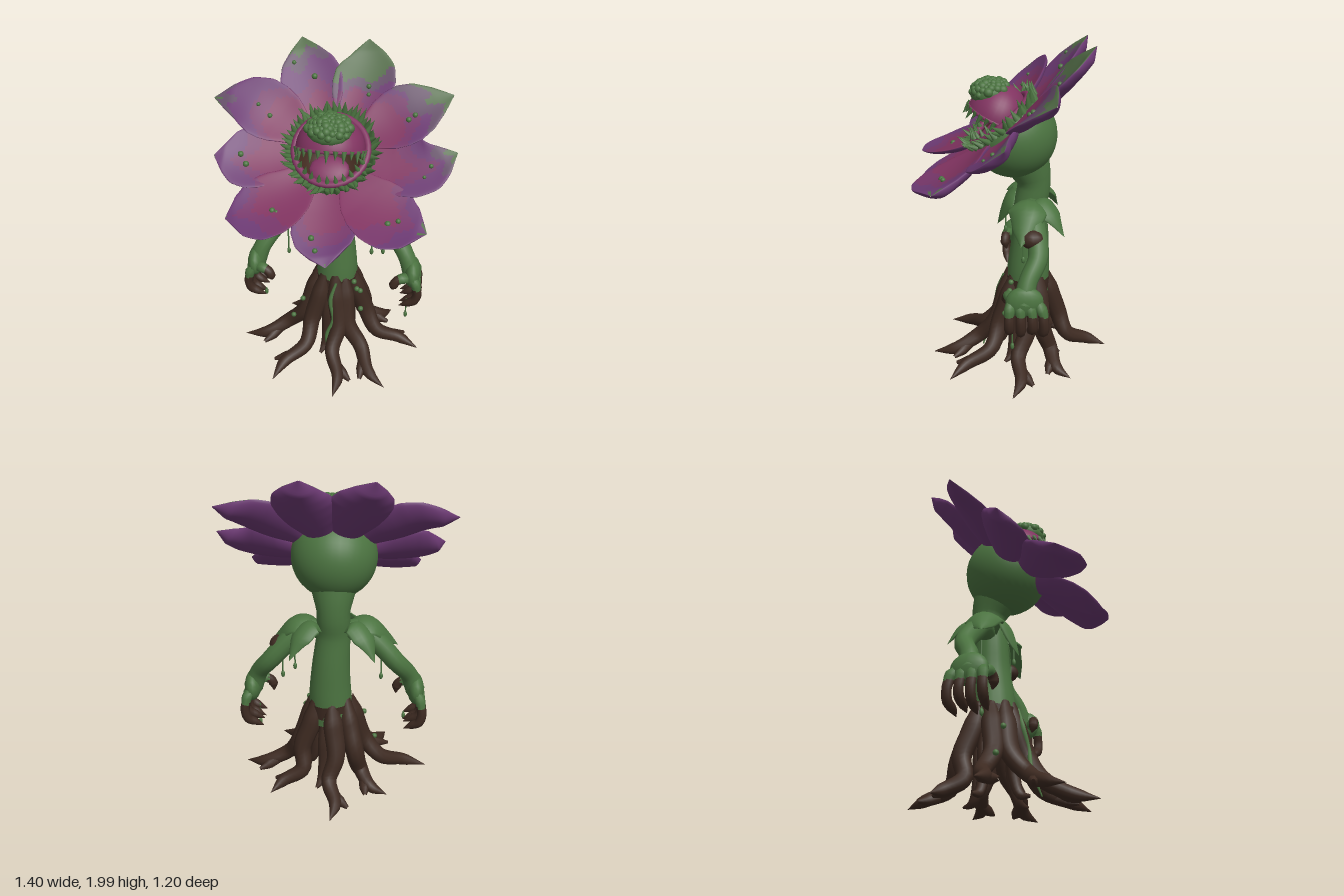
import * as THREE from 'three';

const mat = (name, color, side = THREE.FrontSide) => {
  const m = new THREE.MeshStandardMaterial({ color, side });
  m.name = name;
  return m;
};
const V = (x, y, z) => new THREE.Vector3(x, y, z);
let seed = 7;
const rnd = () => (seed = (seed * 16807) % 2147483647) / 2147483647;
// piecewise-linear lookup in a short list
const ramp = (list, t) => {
  const f = Math.min(t, 0.9999) * (list.length - 1), i = Math.floor(f);
  return THREE.MathUtils.lerp(list[i], list[i + 1], f - i);
};

// Sweeps a closed section along a curve; pick(t, phi) gives a material index
function sweep(points, ref, n, m, section, pick = () => 0) {
  const curve = new THREE.CatmullRomCurve3(points);
  const pos = [], faces = [[], [], [], [], []];
  for (let i = 0; i <= n; i++) {
    const t = i / n, c = curve.getPoint(t), T = curve.getTangent(t);
    const S = T.clone().cross(ref).normalize(), N = S.clone().cross(T);
    for (let j = 0; j < m; j++) {
      const [a, b] = section(t, (j / m) * Math.PI * 2);
      const p = c.clone().addScaledVector(S, a).addScaledVector(N, b);
      pos.push(p.x, p.y, p.z);
      if (i === n) continue;
      const A = i * m + j, B = i * m + (j + 1) % m;
      faces[pick((i + 0.5) / n, ((j + 0.5) / m) * Math.PI * 2)].push(A, A + m, B, B, A + m, B + m);
    }
  }
  const g = new THREE.BufferGeometry();
  g.setAttribute('position', new THREE.Float32BufferAttribute(pos, 3));
  g.setIndex(faces.flat());
  let start = 0;
  faces.forEach((f, k) => {
    if (f.length) g.addGroup(start, f.length, k);
    start += f.length;
  });
  g.computeVertexNormals();
  return g;
}
const tube = (points, radii, ref, n = 16, m = 10) => sweep(points, ref, n, m, (t, p) => {
  const r = ramp(radii, t);
  return [r * Math.cos(p), r * Math.sin(p)];
});
// Leaf or petal: lens section, edges raised by cup, one side raised by roll
const blade = (points, widths, ref, thick, cup, roll = 0, pick = undefined, n = 16, m = 16) => sweep(points, ref, n, m, (t, p) => {
  const w = ramp(widths, t), c = Math.cos(p), s = Math.sin(p);
  const body = Math.min(1, w * 12);
  return [w * c, body * thick * (s > 0 ? 0.35 : 1) * s + cup * w * c * c + roll * w * c * t];
}, pick);

export function createModel() {
  const root = new THREE.Group();
  root.name = 'plantMonster';
  const green = mat('leafGreen', 0x4b7340), brown = mat('rootBrown', 0x3d2a21);
  const purple = mat('petalPurple', 0x6b3972), plum = mat('petalPlum', 0x763669), magenta = mat('petalMagenta', 0x803360);
  const faded = mat('fadedPurple', 0x634c66), moss = mat('mossGreen', 0x526c47);
  const dark = mat('mouthBrown', 0x432b20, THREE.DoubleSide);
  const add = (parent, name, geo, m, x = 0, y = 0, z = 0) => {
    const mesh = new THREE.Mesh(geo, m);
    mesh.name = name;
    mesh.position.set(x, y, z);
    parent.add(mesh);
    return mesh;
  };
  const ball = (parent, name, m, p, sx, sy = sx, sz = sx) =>
    add(parent, name, new THREE.SphereGeometry(1, 14, 10), m, p.x, p.y, p.z).scale.set(sx, sy, sz);
  const spike = (parent, name, m, p, dir, len, r) => {
    const g = new THREE.ConeGeometry(r, len, 6).translate(0, len / 2, 0);
    add(parent, name, g, m, p.x, p.y, p.z).quaternion.setFromUnitVectors(V(0, 1, 0), dir.clone().normalize());
  };
  const Z = V(0, 0, 1), Y = V(0, 1, 0);

  // Trunk
  add(root, 'trunk', tube([V(0.01, 0.42, -0.085), V(0.02, 0.6, -0.09), V(0.015, 0.8, -0.1), V(0, 1.0, -0.1),
    V(0, 1.16, -0.12), V(0, 1.33, -0.06)], [0.135, 0.13, 0.114, 0.1, 0.1, 0.15], Z, 24, 20), green);
  add(root, 'rootCrown', tube([V(0.01, 0.3, -0.085), V(0.015, 0.42, -0.085), V(0.02, 0.555, -0.088)],
    [0.08, 0.13, 0.137], Z, 10, 20), brown);

  // Spreading roots, each with a stubby side fork
  const ends = [[-0.6, 0.02], [-0.34, 0.42], [0.06, 0.52], [0.38, 0.4], [0.58, 0.02], [0.38, -0.34], [0, -0.6], [-0.34, -0.32]];
  ends.forEach(([ex, ez], i) => {
    const dx = ex - 0.01, dz = ez + 0.085, len = Math.hypot(dx, dz), ux = dx / len, uz = dz / len;
    const at = (r, y, side = 0) => V(0.01 + ux * r - uz * side, y, -0.085 + uz * r + ux * side);
    const w = i % 2 ? 0.03 : -0.03, ref = V(-uz, 0, ux);
    add(root, 'root', tube([at(0.1, 0.57 + 0.012 * (i % 3)), at(0.14, 0.42, w * 0.4), at(0.2, 0.25, w), at(len * 0.5, 0.115, -w * 0.4),
      at(len * 0.76, 0.045, w), at(len, 0.008)], [0.03, 0.062, 0.06, 0.052, 0.046, 0.036, 0], ref, 26, 10), brown);
    add(root, 'rootFork', tube([at(len * 0.6, 0.07), at(len * 0.7, 0.04, w * 2), at(len * 0.79, 0.025, w * 3.6)],
      [0.036, 0.032, 0.01], ref, 8, 8), brown);
    // inner roots dropping straight down
    if (i % 2) return;
    const a = Math.atan2(uz, ux) + 0.4;
    const inn = (r, y) => V(0.01 + Math.cos(a) * r, y, -0.07 + Math.sin(a) * r);
    add(root, 'innerRoot', tube([inn(0.09, 0.5), inn(0.12, 0.3), inn(0.13, 0.14), inn(0.17, 0.035), inn(0.24, 0.02)],
      [0.03, 0.042, 0.036, 0.028, 0.008], V(-Math.sin(a), 0, Math.cos(a)), 16, 8), brown);
  });
  // Green creeper and buds over the roots
  add(root, 'creeper', tube([V(0.03, 0.56, 0.06), V(0.0, 0.44, 0.095), V(0.02, 0.3, 0.125), V(-0.02, 0.18, 0.15), V(0.01, 0.03, 0.2)],
    [0.008, 0.016, 0.013, 0.013, 0.004], V(1, 0, 0), 20, 8), green);
  [[0.18, 0.46, 0], [0.16, 0.5, 0.03], [-0.19, 0.39, 0.04], [-0.26, 0.22, 0.02], [0.19, 0.36, 0.06], [0.14, 0.55, 0.02]]
    .forEach(p => ball(root, 'rootBud', green, V(...p), 0.017));

  // Arms, hands and shoulder leaves
  for (const s of [1, -1]) {
    const P = (x, y, z) => V(s * x, y, z), tag = s > 0 ? 'left' : 'right';
    add(root, tag + 'Arm', tube([P(0.05, 1.02, -0.1), P(0.17, 1.03, -0.1), P(0.27, 0.95, -0.12), P(0.38, 0.83, -0.13),
      P(0.46, 0.72, -0.07), P(0.505, 0.6, -0.045)], [0.055, 0.062, 0.064, 0.058, 0.054, 0.06], Z, 24, 12), green);
    ball(root, tag + 'Palm', green, P(0.505, 0.615, -0.05), 0.052, 0.095, 0.11);
    for (let k = 0; k < 4; k++) {
      const z = 0.035 - k * 0.06, d = k % 2 ? 0.015 : 0;
      add(root, tag + 'FingerBase', tube([P(0.5, 0.62, z * 0.8), P(0.53, 0.58, z), P(0.54, 0.53, z * 1.1)],
        [0.025, 0.033, 0.027], Z, 8, 8), green);
      add(root, tag + 'Finger', tube([P(0.535, 0.55, z * 1.05), P(0.545, 0.5, z * 1.1), P(0.53, 0.45 - d, z * 1.1),
        P(0.485, 0.42 - d, z), P(0.435, 0.395 - d, z)], [0.029, 0.029, 0.03, 0.025, 0.002], Z, 14, 8), brown);
    }
    add(root, tag + 'ThumbBase', tube([P(0.49, 0.6, 0.0), P(0.45, 0.62, 0.035), P(0.42, 0.615, 0.045)], [0.035, 0.034, 0.03], Z, 8, 8), green);
    add(root, tag + 'Thumb', tube([P(0.435, 0.62, 0.04), P(0.405, 0.6, 0.048), P(0.392, 0.57, 0.05), P(0.388, 0.53, 0.04)],
      [0.03, 0.03, 0.03, 0.004], Z, 12, 8), brown);
    add(root, tag + 'ShoulderLeaf', blade([P(0.07, 1.03, -0.09), P(0.15, 1.09, -0.08), P(0.24, 1.08, -0.07), P(0.32, 0.99, -0.05),
      P(0.39, 0.9, -0.03)], [0.05, 0.1, 0.12, 0.105, 0.065, 0], Y, 0.03, -0.5), green);
    add(root, tag + 'BackLeaf', blade([P(0.06, 1.04, -0.12), P(0.13, 1.09, -0.16), P(0.2, 1.03, -0.23), P(0.25, 0.9, -0.29)],
      [0.04, 0.085, 0.08, 0], Y, 0.025, -0.4), green);
  }
  add(root, 'chestLeaf', blade([V(-0.06, 1.1, 0.0), V(-0.07, 1.03, 0.045), V(-0.075, 0.94, 0.075), V(-0.075, 0.85, 0.1)],
    [0.04, 0.09, 0.1, 0.08, 0.05, 0], Z, 0.025, -0.4), green);
  ball(root, 'armBarkPatch', brown, V(0.322, 0.922, -0.1), 0.064, 0.058, 0.074);

  // Hanging slime drips: x, top, bottom, z
  [[-0.29, 0.88, 0.7, -0.06], [-0.02, 0.96, 0.84, 0.05], [0.24, 0.93, 0.75, -0.05], [0.31, 0.88, 0.72, -0.1],
    [0.48, 0.44, 0.31, 0.02], [-0.44, 0.42, 0.39, 0]].forEach(([x, a, b, z]) => {
    add(root, 'dripThread', new THREE.CylinderGeometry(0.005, 0.005, a - b, 6), green, x, (a + b) / 2, z);
    ball(root, 'dripDrop', green, V(x, b, z), 0.012, 0.022, 0.012);
  });

  // Flower head, its own y axis pointing out of the bloom
  const head = new THREE.Group();
  head.name = 'flowerHead';
  head.position.set(0, 1.55, 0.08);
  head.rotation.x = 0.69;
  root.add(head);
  const cup = r => new THREE.SphereGeometry(r, 36, 20, 0, Math.PI * 2, 1.04, Math.PI - 1.04);
  add(head, 'bulb', cup(0.255), green, 0, -0.126, 0);
  add(head, 'throat', cup(0.235), dark, 0, -0.115, 0);
  add(head, 'gum', new THREE.TorusGeometry(0.207, 0.02, 10, 40).rotateX(Math.PI / 2), magenta);
  ball(head, 'tongue', magenta, V(0, -0.035, 0.11), 0.115, 0.035, 0.09);

  // Petals: base angle, tip angle, length, magenta reach, moss amount, roll
  const petals = [[20, 13, 0.705, 0.4, 0.6, 0], [60, 61, 0.755, 0.56, 0.28, 0], [100, 88, 0.7, 0.56, 0.1, 0],
    [140, 129, 0.72, 0.72, 0, 0.4], [180, 177, 0.675, 0.6, 0, 0], [220, 230, 0.7, 0.72, 0, -0.4],
    [260, 263, 0.66, 0.56, 0, 0], [300, 291, 0.75, 0.56, 0.06, 0], [340, 341, 0.72, 0.4, 0.24, 0]];
  const pointed = [0.075, 0.115, 0.155, 0.175, 0.178, 0.15, 0.085, 0.003];
  const broad = [0.08, 0.12, 0.16, 0.185, 0.195, 0.185, 0.13, 0.003];
  petals.forEach(([a0, a1, len, reach, mossy, roll], i) => {
    const lift = i % 2 ? 0.012 : -0.012;
    const at = (deg, r, y) => {
      const a = THREE.MathUtils.degToRad(deg);
      return V(Math.sin(a) * r, y, -Math.cos(a) * r);
    };
    const pick = (t, p) => {
      const c = Math.cos(p), wob = 0.05 * Math.sin(6 * c + i * 2) + 0.03 * Math.sin(12 * t + i);
      if (Math.sin(p) < 0) return t < 0.1 ? 1 : 0;
      const m = t + wob - 1 + mossy - 0.25 * mossy * (1 + c);
      if (m > 0) return 4;
      if (mossy > 0 && m > -0.14) return 3;
      const inner = t + 0.3 * Math.abs(c) + wob;
      return inner < reach ? 2 : inner < reach + 0.18 ? 1 : 0;
    };
    const mid = (a0 * 2 + a1) / 3, rise = roll ? 0.03 : 0.005;
    add(head, 'petal', blade([at(a0, 0.19, -0.065 + lift), at(a0, 0.36, -0.045 + lift), at(mid, 0.54, -0.015 + lift), at(a1, len, rise)],
      roll ? broad : pointed, Y, 0.045, 0.2, roll, pick, 40, 44), [purple, plum, magenta, faded, moss]);
    for (let k = 0; k < 2; k++) {
      const r = 0.4 + rnd() * 0.2;
      ball(head, 'petalWart', green, at(a0 + (rnd() - 0.5) * 16, r, lift - 0.02 + (r - 0.4) * 0.17), 0.01 + rnd() * 0.008);
    }
  });

  // Collar of pointed leaflets and inner teeth
  for (let k = 0; k < 56; k++) {
    const a = (k / 56) * Math.PI * 2, row = k % 2, r = row ? 0.222 : 0.24;
    const out = 0.1 + row * 0.3 + rnd() * 0.5, tw = (rnd() - 0.5) * 0.9;
    const dir = V(Math.sin(a + tw) * out, 0.7, -Math.cos(a + tw) * out);
    spike(head, 'collarLeaflet', green, V(Math.sin(a) * r, -0.02, -Math.cos(a) * r), dir, 0.07 + rnd() * 0.035, 0.021);
  }
  for (let k = -5; k <= 5; k++) {
    const a = k * 0.24;
    spike(head, 'lowerTooth', green, V(Math.sin(a) * 0.2, 0.01, Math.cos(a) * 0.2), V(-Math.sin(a) * 0.4, 1, -Math.cos(a) * 0.4), 0.065, 0.016);
  }

  // Upper jaw dome, tilted open, with teeth along the rim
  const jaw = new THREE.Group();
  jaw.name = 'upperJaw';
  jaw.position.set(0, 1.565, 0.1);
  jaw.rotation.x = -0.42;
  root.add(jaw);
  const dome = r => new THREE.SphereGeometry(r, 32, 14, 0, Math.PI * 2, 0, Math.PI / 2);
  add(jaw, 'jawDome', dome(0.195), magenta).scale.z = 0.9;
  add(jaw, 'jawInside', dome(0.185), dark).scale.z = 0.9;
  add(jaw, 'jawLip', new THREE.TorusGeometry(0.188, 0.012, 8, 40).rotateX(Math.PI / 2), magenta).scale.z = 0.9;
  for (let k = -6; k <= 6; k++) {
    const a = k * 0.25;
    spike(jaw, 'upperTooth', green, V(Math.sin(a) * 0.19, 0.005, Math.cos(a) * 0.172), V(0, -1, 0.2), k % 2 ? 0.05 : 0.075, 0.018);
  }

  // Lumpy moss cap on the jaw
  const cap = new THREE.Group();
  cap.name = 'mossCap';
  cap.position.set(0, 1.705, 0.138);
  cap.rotation.x = 0.15;
  root.add(cap);
  ball(cap, 'mossMound', green, V(0, 0, 0), 0.128, 0.075, 0.114);
  for (let k = 0; k < 60; k++) {
    const a = k * 2.4, q = Math.sqrt((k + 0.5) / 60), h = Math.sqrt(1 - q * q), r = 0.014 + rnd() * 0.014;
    ball(cap, 'mossBump', green, V(Math.sin(a) * q * 0.117, h * 0.065, Math.cos(a) * q * 0.104), r);
  }
  return root;
}
